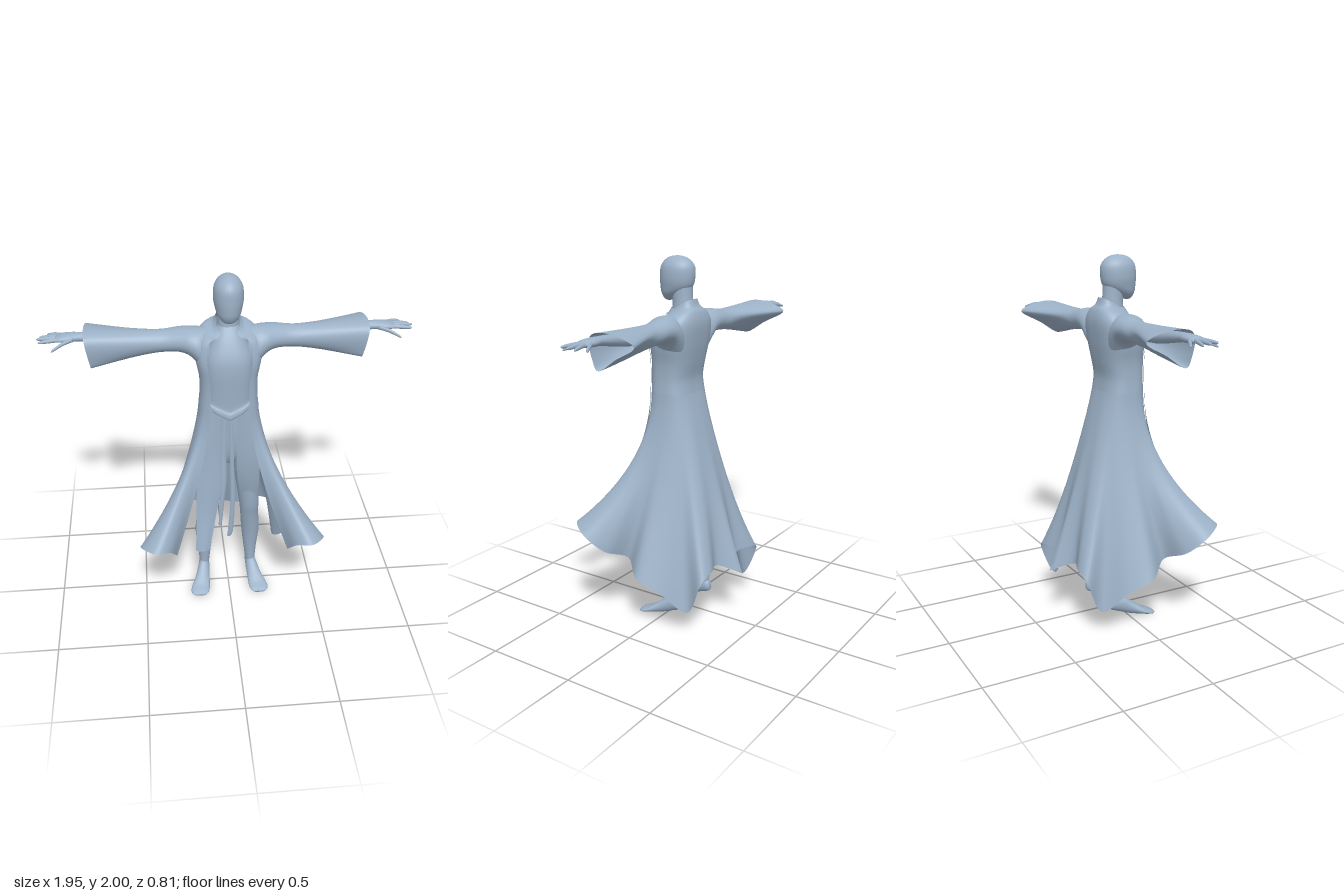
import * as THREE from 'three';

const V = (x, y, z) => new THREE.Vector3(x, y, z);
const lerp = THREE.MathUtils.lerp;

export function createModel() {
  const model = new THREE.Group();
  const cloth = new THREE.MeshStandardMaterial({ color: 0x9db2c8, side: THREE.DoubleSide });
  cloth.name = 'blue grey';

  // Skin a list of point rows into one smooth surface
  function loft(name, rows, closed = false, caps = false) {
    const n = rows[0].length, pos = [], idx = [];
    rows.forEach(r => r.forEach(p => pos.push(p.x, p.y, p.z)));
    for (let i = 0; i < rows.length - 1; i++) {
      for (let j = 0; j < (closed ? n : n - 1); j++) {
        const a = i * n + j, b = i * n + (j + 1) % n;
        idx.push(a, b, a + n, b, b + n, a + n);
      }
    }
    if (caps) [0, rows.length - 1].forEach(i => {
      const c = V(0, 0, 0);
      rows[i].forEach(p => c.addScaledVector(p, 1 / n));
      const k = pos.length / 3;
      pos.push(c.x, c.y, c.z);
      for (let j = 0; j < n; j++) {
        const a = i * n + j, b = i * n + (j + 1) % n;
        if (i) idx.push(a, b, k); else idx.push(b, a, k);
      }
    });
    const geo = new THREE.BufferGeometry();
    geo.setAttribute('position', new THREE.Float32BufferAttribute(pos, 3));
    geo.setIndex(idx);
    geo.computeVertexNormals();
    const mesh = new THREE.Mesh(geo, cloth);
    mesh.name = name;
    model.add(mesh);
  }

  // Smoothly interpolate rows of numbers
  function smooth(rows, per = 5) {
    const out = [], last = rows.length - 1;
    for (let k = 0; k <= last * per; k++) {
      const i = Math.min(Math.floor(k / per), last - 1), t = k / per - i;
      const [a, b, c, d] = [Math.max(i - 1, 0), i, i + 1, Math.min(i + 2, last)].map(m => rows[m]);
      out.push(b.map((q, m) => q + 0.5 * t * (c[m] - a[m] +
        t * (2 * a[m] - 5 * q + 4 * c[m] - d[m] + t * (3 * (q - c[m]) + d[m] - a[m])))));
    }
    return out;
  }
  const ring = (n, f) => Array.from({ length: n }, (_, j) => {
    const a = j / n * Math.PI * 2;
    return f(Math.cos(a), Math.sin(a), j / n);
  });
  // Upright body part, rows are [y, cx, cz, rx, rz]
  const upright = (name, rows, s = 1) => loft(name, smooth(rows).map(([y, cx, cz, rx, rz]) =>
    ring(24, (c, d) => V(s * (cx + rx * c), y, cz + rz * d))), true, true);
  // Sideways part, rows are [x, cy, cz, ry, rz]
  const sideways = (name, rows, s, n = 16) => loft(name, smooth(rows, 4).map(([x, cy, cz, ry, rz]) =>
    ring(n, (c, d) => V(s * x, cy + ry * d, cz + rz * c))), true, true);
  // Hanging cloth, rows are [y, x0, x1, z]
  const hanging = (name, rows, bow) => loft(name, smooth(rows).map(([y, x0, x1, z]) =>
    Array.from({ length: 9 }, (_, j) => V(lerp(x0, x1, j / 8), y, z + bow * Math.sin(Math.PI * j / 8)))));

  // Head and neck
  upright('head', [[1.765, 0, 0.07, 0.012, 0.008], [1.775, 0, 0.066, 0.034, 0.03], [1.805, 0, 0.046, 0.058, 0.066],
    [1.84, 0, 0.026, 0.07, 0.092], [1.885, 0, 0.02, 0.077, 0.1], [1.94, 0, 0.018, 0.073, 0.098],
    [1.975, 0, 0.018, 0.054, 0.076], [1.994, 0, 0.018, 0.027, 0.042], [2.0, 0, 0.018, 0.004, 0.006]]);
  upright('neck', [[1.64, 0, -0.012, 0.065, 0.065], [1.74, 0, -0.015, 0.054, 0.057], [1.8, 0, -0.012, 0.052, 0.056],
    [1.87, 0, -0.01, 0.052, 0.056]]);

  // Tunic with a pointed waist, rows are [y, rx, zFront, zBack, point]
  loft('tunic', smooth([[1.232, 0.122, 0.108, -0.06, 0.5], [1.232, 0.13, 0.135, -0.07, 0.5], [1.262, 0.13, 0.134, -0.07, 0.45],
    [1.28, 0.127, 0.122, -0.07, 0.4], [1.38, 0.125, 0.125, -0.08, 0], [1.5, 0.13, 0.131, -0.1, 0], [1.58, 0.122, 0.122, -0.1, 0],
    [1.66, 0.088, 0.088, -0.08, 0], [1.73, 0.055, 0.045, -0.07, 0]]).map(([y, rx, zf, zb, p]) =>
    ring(40, (c, d) => {
      const x = rx * Math.sign(c) * Math.abs(c) ** 0.8;
      return V(x, y + p * Math.abs(x), (zf + zb) / 2 + (zf - zb) / 2 * Math.sign(d) * Math.abs(d) ** 0.8);
    })), true);
  upright('hips', [[0.9, 0, 0, 0.05, 0.05], [0.97, 0, 0, 0.12, 0.08], [1.1, 0, 0, 0.14, 0.095], [1.3, 0, 0.01, 0.12, 0.085]]);

  // Robe bodice, rows are [yFront, yBack, rx, zFront, zBack]
  const bodice = smooth([[1.7, 1.78, 0.062, 0.055, -0.088], [1.68, 1.745, 0.082, 0.078, -0.1],
    [1.675, 1.712, 0.135, 0.096, -0.122], [1.64, 1.65, 0.172, 0.112, -0.134], [1.55, 1.55, 0.172, 0.132, -0.125],
    [1.45, 1.45, 0.154, 0.132, -0.108], [1.36, 1.36, 0.152, 0.13, -0.092], [1.28, 1.28, 0.159, 0.131, -0.1]], 6);
  // Hem from front edge to back centre, and the broad shape that its folds fade into higher up
  const hem = new THREE.CatmullRomCurve3([V(0.31, 0.45, 0.28), V(0.355, 0.545, 0.365), V(0.43, 0.57, 0.4),
    V(0.512, 0.535, 0.29), V(0.46, 0.445, 0.19), V(0.34, 0.385, 0.12), V(0.43, 0.32, 0), V(0.385, 0.25, -0.12),
    V(0.3, 0.135, -0.24), V(0.3, 0.325, -0.33), V(0.21, 0.365, -0.34), V(0.1, 0.355, -0.305), V(0, 0.295, -0.41)]);
  const flare = new THREE.CatmullRomCurve3([V(0.31, 0.47, 0.27), V(0.43, 0.56, 0.385), V(0.48, 0.46, 0.19),
    V(0.43, 0.34, 0), V(0.335, 0.24, -0.22), V(0.19, 0.34, -0.335), V(0, 0.31, -0.38)]);
  function bodicePoint([yf, yb, rx, zf, zb], u) {
    const a = lerp(0.6, Math.PI, u), c = Math.cos(a);
    const k = Math.sign(c) * Math.abs(c) ** 0.72;
    return V(rx * Math.abs(Math.sin(a)) ** 0.72, lerp(yb, yf, (k + 1) / 2), (zf + zb) / 2 + (zf - zb) / 2 * k);
  }
  function robePoint(row, u) {
    if (row < bodice.length) return bodicePoint(bodice[row], u);
    const t = (row - bodice.length + 1) / 28;
    const w = bodicePoint(bodice[bodice.length - 1], u), h = flare.getPoint(u).lerp(hem.getPoint(u), t * t);
    const front = THREE.MathUtils.smoothstep(h.z, -0.1, 0.3);
    return V(lerp(w.x, h.x, t ** lerp(1.35, 1.6, front)), lerp(w.y, h.y, t), lerp(w.z, h.z, t ** lerp(1.02, 2.2, front)));
  }
  loft('robe', Array.from({ length: bodice.length + 28 }, (_, i) => Array.from({ length: 145 }, (_, j) => {
    const u = 1 - Math.abs(j / 72 - 1), p = robePoint(i, u);
    if (j > 72) p.x *= -1;
    return p;
  })));

  for (const s of [1, -1]) {
    const side = s > 0 ? 'left' : 'right';

    // Lapel along the robe's front edge
    loft(side + 'Lapel', Array.from({ length: 56 }, (_, i) => [0, 0.03, 0.06, 0.09].map(u => {
      const p = robePoint(i, u);
      return V(s * (p.x + 0.003), p.y, p.z + 0.006);
    })));

    // Wide sleeve, rows are [x, top, bottom, zFront, zBack], ending in a drooping cuff
    const cuff = new THREE.CatmullRomCurve3([V(0, 1.65, 0.028), V(0, 1.685, 0.005), V(0, 1.695, -0.1),
      V(0, 1.645, -0.236), V(0, 1.575, -0.12), V(0, 1.507, 0.0), V(0, 1.56, 0.022)], true);
    loft(side + 'Sleeve', smooth([[0.1, 1.7, 1.42, 0.07, -0.1], [0.15, 1.706, 1.5, 0.085, -0.113],
      [0.195, 1.705, 1.556, 0.074, -0.115], [0.25, 1.7, 1.575, 0.046, -0.112], [0.33, 1.688, 1.572, 0.024, -0.107],
      [0.45, 1.685, 1.568, 0.02, -0.1], [0.6, 1.685, 1.56, 0.02, -0.1], [0.735, 1.69, 1.55, 0.02, -0.1]]).map(([x, top, low, zf, zb]) => {
      const t = Math.max(0, (x - 0.34) / 0.395) ** 1.2;
      return ring(40, (c, d, f) => {
        const q = cuff.getPoint(f);
        const y = lerp((top + low) / 2 + (top - low) / 2 * d, q.y, t);
        return V(s * (x - t * 0.15 * (1.69 - y)), y, lerp((zf + zb) / 2 + (zf - zb) / 2 * c, q.z, t));
      });
    }), true);

    // Arm, palm and fingers
    sideways(side + 'Hand', [[0.2, 1.635, -0.035, 0.045, 0.045], [0.5, 1.635, -0.045, 0.035, 0.036], [0.68, 1.655, -0.053, 0.028, 0.032],
      [0.755, 1.663, -0.055, 0.023, 0.03], [0.8, 1.664, -0.053, 0.022, 0.038], [0.85, 1.663, -0.05, 0.018, 0.043],
      [0.878, 1.661, -0.05, 0.009, 0.036]], s);
    [[0.845, -0.082, 0.928, -0.127, 1.645], [0.86, -0.064, 0.962, -0.084, 1.652], [0.86, -0.046, 0.975, -0.05, 1.658],
      [0.86, -0.028, 0.962, -0.006, 1.66], [0.785, -0.025, 0.897, 0.042, 1.63]].forEach(([x0, z0, x1, z1, y1], i) => {
      const at = (t, r) => [lerp(x0, x1, t), lerp(1.662, y1, t * t), lerp(z0, z1, t), r, r];
      sideways(side + 'Finger' + (i + 1), [at(0, 0.012), at(0.45, 0.011), at(0.9, 0.0075), at(1, 0.001)], s, 8);
    });

    // Leg and foot
    upright(side + 'Leg', [[1.2, 0.075, 0, 0.065, 0.09], [1, 0.09, 0, 0.078, 0.09], [0.8, 0.107, -0.005, 0.07, 0.078],
      [0.6, 0.122, -0.012, 0.058, 0.062], [0.5, 0.127, -0.028, 0.053, 0.056], [0.36, 0.137, -0.055, 0.053, 0.054],
      [0.22, 0.138, -0.063, 0.039, 0.042], [0.12, 0.14, -0.066, 0.03, 0.037], [0.075, 0.141, -0.066, 0.029, 0.035],
      [0.05, 0.142, -0.06, 0.016, 0.02]], s);
    loft(side + 'Foot', smooth([[-0.115, 0.14, 0.078, 0.012, 0.016], [-0.098, 0.14, 0.085, 0.027, 0.036],
      [-0.04, 0.145, 0.077, 0.034, 0.05], [0.02, 0.157, 0.047, 0.042, 0.038], [0.08, 0.172, 0.024, 0.054, 0.02],
      [0.12, 0.178, 0.014, 0.052, 0.012], [0.142, 0.178, 0.009, 0.034, 0.006]]).map(([z, cx, cy, rx, ry]) =>
      ring(20, (c, d) => V(s * (cx + rx * c), Math.max(0, cy + ry * d), z))), true, true);
  }

  // Hanging panels and sash ends
  hanging('rightPanel', [[1.3, -0.13, -0.045, 0.1], [1, -0.165, -0.04, 0.105], [0.8, -0.183, -0.045, 0.115],
    [0.6, -0.19, -0.08, 0.13], [0.38, -0.2, -0.12, 0.165]], 0.014);
  hanging('leftPanel', [[1.3, 0.045, 0.13, 0.1], [1, 0.04, 0.16, 0.095], [0.8, 0.05, 0.17, 0.07], [0.6, 0.085, 0.165, 0.02]], 0.014);
  hanging('longSash', [[1.25, -0.01, 0.012, 0.122], [1, -0.002, 0.02, 0.13], [0.7, 0, 0.026, 0.135],
    [0.5, -0.012, 0.018, 0.13], [0.445, -0.018, 0.004, 0.125]], 0.006);
  hanging('shortSash', [[1.25, -0.045, -0.012, 0.118], [1, -0.055, -0.02, 0.128], [0.84, -0.055, -0.022, 0.14],
    [0.7, -0.06, -0.035, 0.145], [0.55, -0.068, -0.05, 0.155]], 0.008);

  return model;
}
